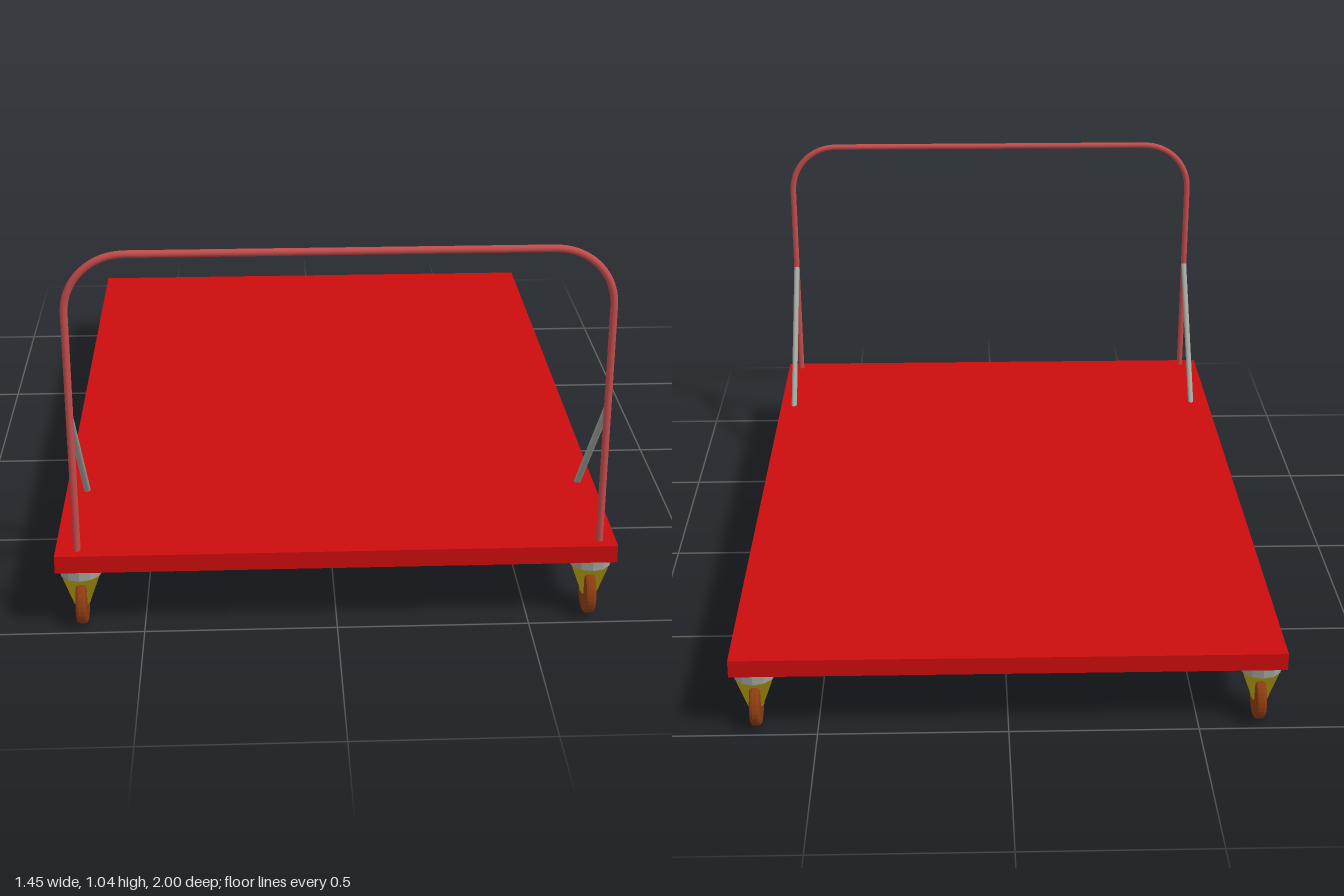
import * as THREE from 'three';

const paint = (name, color) => {
  const m = new THREE.MeshStandardMaterial({ color });
  m.name = name;
  return m;
};

export function createModel() {
  const red = paint('deck red', 0xcc0c0c);
  const rose = paint('handle red', 0xc44c4c);
  const steel = paint('steel grey', 0xa2a59e);
  const olive = paint('fork yellow', 0x94800c);
  const brown = paint('wheel brown', 0x8c3c12);

  const model = new THREE.Group();
  model.name = 'platformTrolley';
  const add = (parent, name, geometry, material, x = 0, y = 0, z = 0) => {
    const mesh = new THREE.Mesh(geometry, material);
    mesh.name = name;
    mesh.position.set(x, y, z);
    parent.add(mesh);
    return mesh;
  };

  // Flat deck
  add(model, 'deck', new THREE.BoxGeometry(1.446, 0.048, 1.994), red, 0, 0.199, 0);

  // Bent push handle: two uprights joined by rounded corners
  const left = 0.68, right = -0.667, top = 1.028, bend = 0.15, handleZ = 0.963;
  const v = (x, y) => new THREE.Vector3(x, y, handleZ);
  const points = [v(right, 0.2), v(right, top - bend)];
  for (let i = 1; i <= 10; i++) {
    const a = Math.PI - (i / 10) * Math.PI / 2;
    points.push(v(right + bend + bend * Math.cos(a), top - bend + bend * Math.sin(a)));
  }
  for (let i = 0; i <= 10; i++) {
    const a = Math.PI / 2 - (i / 10) * Math.PI / 2;
    points.push(v(left - bend + bend * Math.cos(a), top - bend + bend * Math.sin(a)));
  }
  points.push(v(left, 0.2));
  const path = new THREE.CurvePath();
  for (let i = 1; i < points.length; i++) path.add(new THREE.LineCurve3(points[i - 1], points[i]));
  add(model, 'handle', new THREE.TubeGeometry(path, 240, 0.0095, 12), rose);

  // Diagonal braces from uprights to deck
  for (const x of [left, right]) {
    const brace = new THREE.LineCurve3(
      new THREE.Vector3(x, 0.602, handleZ), new THREE.Vector3(x, 0.212, 0.622));
    add(model, 'brace', new THREE.TubeGeometry(brace, 1, 0.009, 12), steel);
  }

  // Tapered fork, narrowing to the axle
  const forkShape = new THREE.Shape([
    [-0.047, 0.15], [-0.047, 0.14], [-0.019, 0.062], [0.019, 0.062], [0.047, 0.14], [0.047, 0.15],
  ].map(([x, y]) => new THREE.Vector2(x, y)));
  const forkGeometry = new THREE.ExtrudeGeometry(forkShape, { depth: 0.042, bevelEnabled: false });
  forkGeometry.translate(0, 0, -0.021);
  const plateGeometry = new THREE.CylinderGeometry(0.059, 0.056, 0.028, 12).toNonIndexed();
  plateGeometry.computeVertexNormals();

  // Wheel with slightly rounded tread
  const wheelProfile = [
    [0, -0.014], [0.054, -0.014], [0.059, -0.011], [0.061, -0.006],
    [0.061, 0.006], [0.059, 0.011], [0.054, 0.014], [0, 0.014],
  ].map(([r, y]) => new THREE.Vector2(r, y));
  const wheelGeometry = new THREE.LatheGeometry(wheelProfile, 28).toNonIndexed();
  wheelGeometry.computeVertexNormals();
  wheelGeometry.rotateZ(Math.PI / 2);
  const axleGeometry = new THREE.CylinderGeometry(0.01, 0.01, 0.042, 10).rotateZ(Math.PI / 2);

  // Four casters
  for (const sx of [-1, 1]) for (const sz of [-1, 1]) {
    const caster = new THREE.Group();
    caster.name = 'caster';
    caster.position.set(sx * 0.662, 0, sz * 0.938);
    add(caster, 'mountingPlate', plateGeometry, steel, 0, 0.162, 0);
    add(caster, 'fork', forkGeometry, olive);
    add(caster, 'wheel', wheelGeometry, brown, 0, 0.061, 0);
    add(caster, 'axle', axleGeometry, olive, 0, 0.067, 0);
    model.add(caster);
  }
  return model;
}
